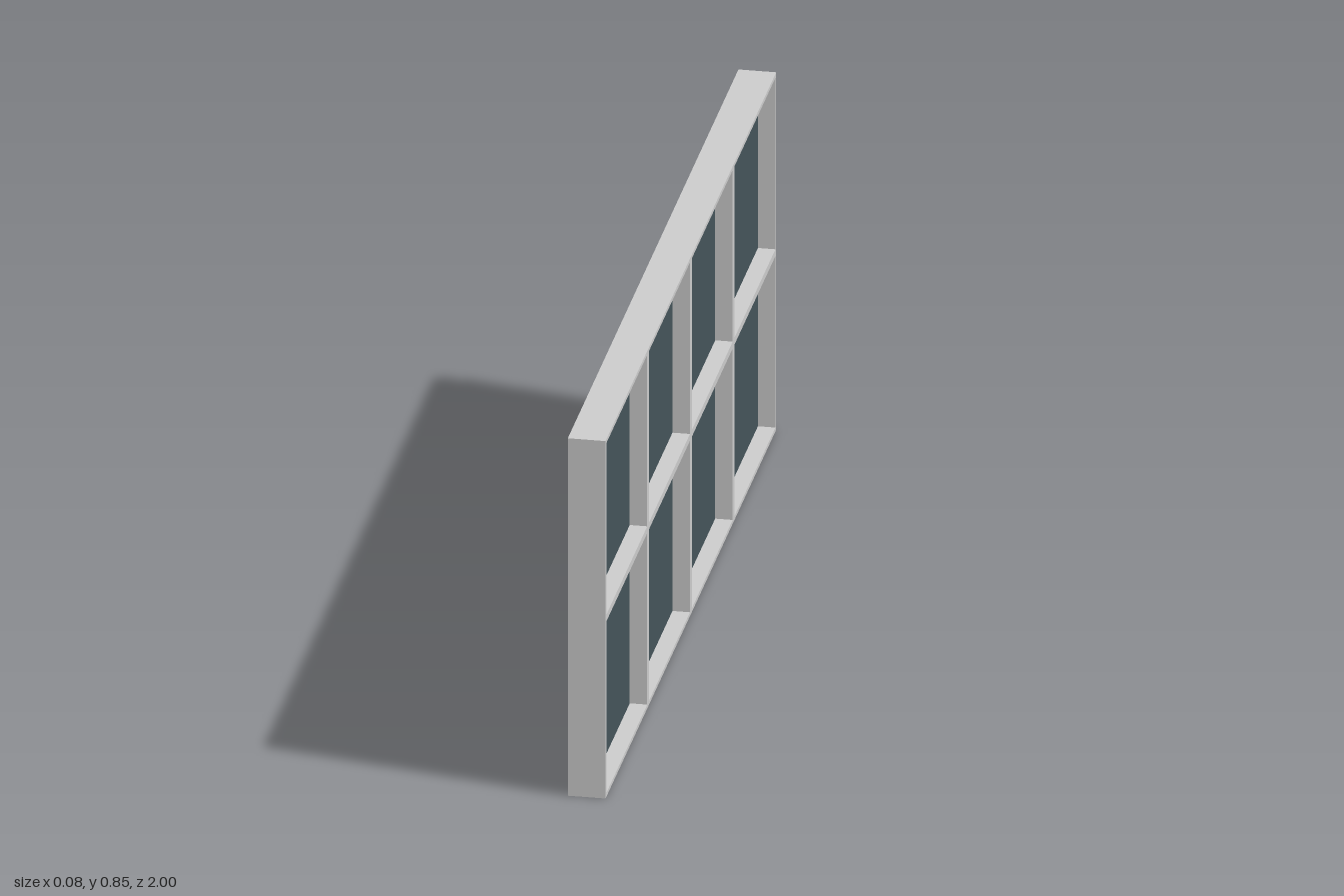
import * as THREE from 'three';

const DEPTH = 0.083, HEIGHT = 0.845, LENGTH = 2;
const EDGE = 0.009, MULLION = 0.021, TRANSOM = 0.016, GLASS = 0.006;
const COLS = 4, ROWS = 2;

export function createModel() {
  const model = new THREE.Group();
  model.name = 'window';
  const frameMat = new THREE.MeshStandardMaterial({ color: 0xcccccc });
  const glassMat = new THREE.MeshStandardMaterial({ color: 0x445359 });

  const paneL = (LENGTH - 2 * EDGE - (COLS - 1) * MULLION) / COLS;
  const paneH = (HEIGHT - 2 * EDGE - (ROWS - 1) * TRANSOM) / ROWS;

  // Frame and glazing bars: one slab pierced by a grid of openings
  const slab = new THREE.Shape([
    new THREE.Vector2(-LENGTH / 2, 0), new THREE.Vector2(LENGTH / 2, 0),
    new THREE.Vector2(LENGTH / 2, HEIGHT), new THREE.Vector2(-LENGTH / 2, HEIGHT),
  ]);
  const panes = new THREE.Group();
  panes.name = 'glassPanes';
  const paneGeo = new THREE.BoxGeometry(GLASS, paneH, paneL);
  for (let c = 0; c < COLS; c++) {
    for (let r = 0; r < ROWS; r++) {
      const z = -LENGTH / 2 + EDGE + c * (paneL + MULLION);
      const y = EDGE + r * (paneH + TRANSOM);
      slab.holes.push(new THREE.Path([
        new THREE.Vector2(z, y), new THREE.Vector2(z, y + paneH),
        new THREE.Vector2(z + paneL, y + paneH), new THREE.Vector2(z + paneL, y),
      ]));
      // Glass set midway through the frame's depth
      const pane = new THREE.Mesh(paneGeo, glassMat);
      pane.name = 'glassPane';
      pane.position.set(0, y + paneH / 2, z + paneL / 2);
      panes.add(pane);
    }
  }
  const frameGeo = new THREE.ExtrudeGeometry(slab, { depth: DEPTH, bevelEnabled: false });
  frameGeo.translate(0, 0, -DEPTH / 2).rotateY(-Math.PI / 2);
  const frame = new THREE.Mesh(frameGeo, frameMat);
  frame.name = 'frame';

  model.add(frame, panes);
  return model;
}
